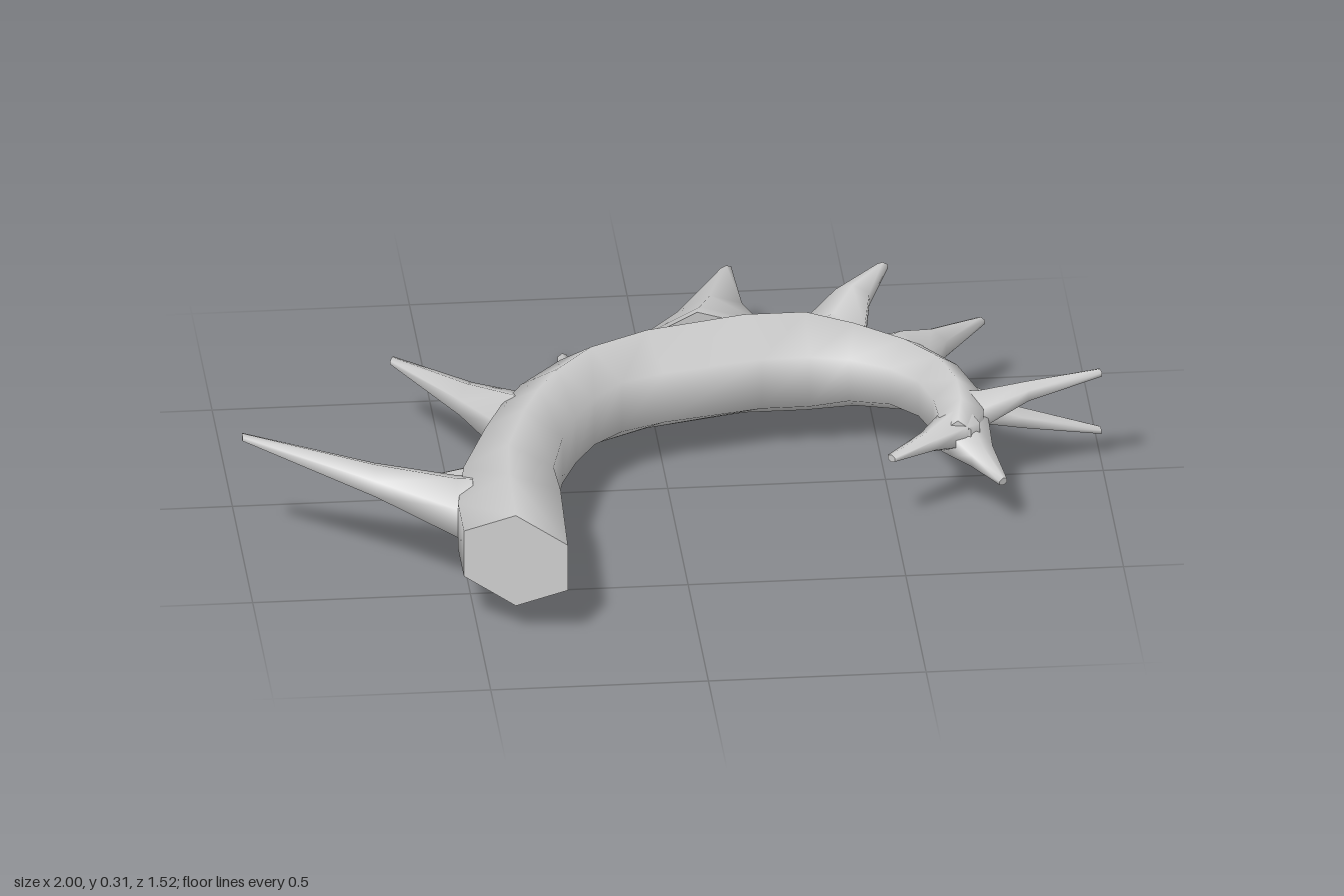
import * as THREE from 'three';

const SIDES = 6;
const MID_Y = 0.185;
const material = new THREE.MeshStandardMaterial({ color: 0xcccccc });

// Skins hexagonal rings { c: centre, s: half-width vector, h: half-height }, ridge on top and bottom.
function loft(name, rings) {
  const pos = [];
  const index = [];
  const point = ({ c, s, h }, j) => {
    const a = ((j + 0.5) / SIDES) * Math.PI * 2;
    const k = Math.cos(a) / Math.cos(Math.PI / 6);
    return [c.x + s.x * k, c.y + s.y * k + h * Math.sin(a), c.z + s.z * k];
  };
  rings.forEach((ring, i) => {
    for (let j = 0; j < SIDES; j++) {
      pos.push(...point(ring, j));
      if (i === rings.length - 1) continue;
      const a = i * SIDES + j;
      const b = i * SIDES + ((j + 1) % SIDES);
      index.push(a, b, a + SIDES, b, b + SIDES, a + SIDES);
    }
  });
  // Flat end caps with their own vertices keep the rims sharp
  [rings[0], rings[rings.length - 1]].forEach((ring, end) => {
    const start = pos.length / 3;
    for (let j = 0; j < SIDES; j++) pos.push(...point(ring, j));
    for (let j = 1; j < SIDES - 1; j++) {
      if (end) index.push(start, start + j, start + j + 1);
      else index.push(start, start + j + 1, start + j);
    }
  });
  const geometry = new THREE.BufferGeometry();
  geometry.setAttribute('position', new THREE.Float32BufferAttribute(pos, 3));
  geometry.setIndex(index);
  geometry.computeVertexNormals();
  const mesh = new THREE.Mesh(geometry, material);
  mesh.name = name;
  return mesh;
}

// Tail stations: inner x, z, outer x, z, half-height
const TAIL = [
  [-0.30, 0.755, -0.53, 0.66, 0.115],
  [-0.29, 0.47, -0.53, 0.52, 0.115],
  [-0.295, 0.35, -0.50, 0.33, 0.115],
  [-0.26, 0.20, -0.43, 0.13, 0.115],
  [-0.22, 0.10, -0.385, 0.02, 0.115],
  [-0.17, 0.01, -0.33, -0.08, 0.117],
  [-0.10, -0.06, -0.23, -0.19, 0.125],
  [0.00, -0.10, -0.06, -0.30, 0.125],
  [0.23, -0.15, 0.17, -0.37, 0.125],
  [0.34, -0.15, 0.34, -0.37, 0.125],
  [0.43, -0.15, 0.47, -0.315, 0.105],
  [0.52, -0.11, 0.60, -0.23, 0.09],
  [0.58, -0.04, 0.675, -0.12, 0.088],
  [0.605, 0.05, 0.715, 0.02, 0.085],
  [0.61, 0.12, 0.715, 0.11, 0.075],
  [0.62, 0.17, 0.68, 0.175, 0.045],
];

// Spikes: base edge x, z, other edge x, z, base y, half-height, tip x, y, z, rise of the middle ring
const SPIKES = [
  [-0.53, 0.52, -0.52, 0.33, 0.19, 0.075, -1.0, 0.298, 0.24, 0.38],
  [-0.50, 0.29, -0.43, 0.14, 0.13, 0.06, -0.675, 0.043, -0.06, 0.5],
  [-0.395, 0.08, -0.32, -0.09, 0.185, 0.075, -0.60, 0.18, -0.36, 0.38],
  [-0.26, -0.17, -0.12, -0.26, 0.14, 0.07, -0.18, 0.012, -0.68, 0.7],
  [-0.04, -0.31, 0.25, -0.37, 0.185, 0.115, 0.205, 0.18, -0.76, 0.38],
  [0.34, -0.36, 0.485, -0.31, 0.21, 0.06, 0.54, 0.303, -0.495, 0.7],
  [0.50, -0.30, 0.62, -0.20, 0.185, 0.075, 0.76, 0.18, -0.44, 0.38],
  [0.69, -0.13, 0.71, -0.01, 0.155, 0.05, 1.0, 0.072, -0.07, 0.5],
  [0.70, 0.01, 0.72, 0.10, 0.20, 0.05, 0.99, 0.273, 0.04, 0.5],
  [0.73, 0.09, 0.63, 0.18, 0.17, 0.055, 0.745, 0.12, 0.273, 0.5],
  [0.67, 0.18, 0.61, 0.10, 0.19, 0.05, 0.49, 0.18, 0.25, 0.4],
];

function spike([ax, az, bx, bz, y, h, tx, ty, tz, rise], i) {
  const base = new THREE.Vector3((ax + bx) / 2, y, (az + bz) / 2);
  const tip = new THREE.Vector3(tx, ty, tz);
  const dir = tip.clone().sub(base).normalize();
  const s = new THREE.Vector3(bx - ax, 0, bz - az).multiplyScalar(0.5);
  if (s.clone().cross(new THREE.Vector3(0, 1, 0)).dot(dir) < 0) s.negate();
  const root = base.clone().addScaledVector(dir, -0.04).setY(y);
  const mid = base.clone().lerp(tip, 0.38).setY(y + (ty - y) * rise);
  const tipSide = s.clone().setLength(0.012);
  return loft('spike' + (i + 1), [
    { c: root, s, h },
    { c: base, s: s.clone().multiplyScalar(0.95), h: h * 0.95 },
    { c: mid, s: s.clone().multiplyScalar(0.52), h: h * 0.52 },
    { c: tip, s: tipSide, h: 0.009 },
  ]);
}

export function createModel() {
  const model = new THREE.Group();
  model.name = 'spikedTail';

  // Curved, tapering body
  model.add(loft('tailBody', TAIL.map(([ix, iz, ox, oz, h]) => ({
    c: new THREE.Vector3((ix + ox) / 2, MID_Y, (iz + oz) / 2),
    s: new THREE.Vector3((ox - ix) / 2, 0, (oz - iz) / 2),
    h,
  }))));

  // Spikes along the outer edge and the tail end
  const spikes = new THREE.Group();
  spikes.name = 'spikes';
  SPIKES.forEach((row, i) => spikes.add(spike(row, i)));
  model.add(spikes);
  return model;
}
